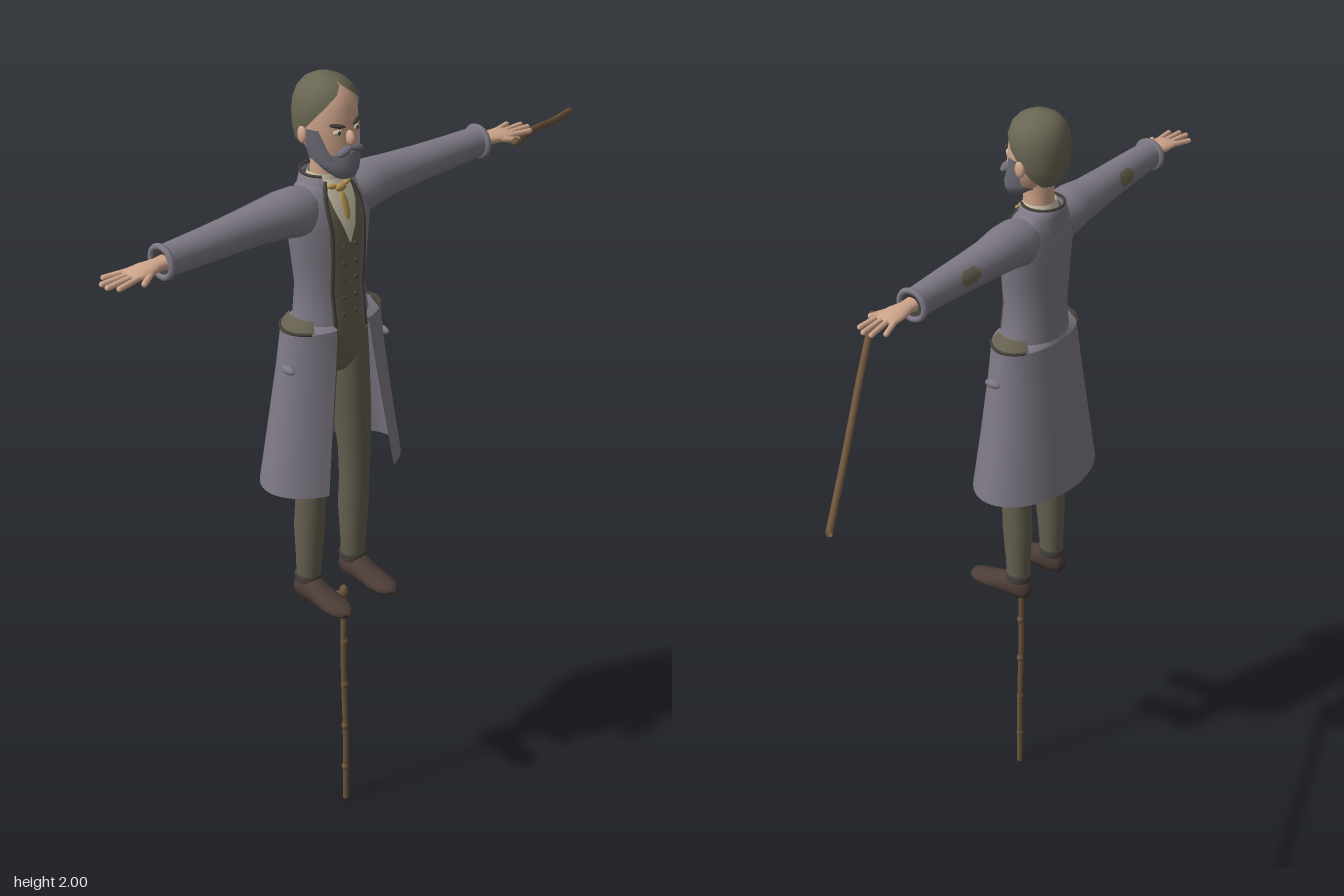
import * as THREE from 'three';

const mat = (name, color, side = THREE.DoubleSide) => {
  const m = new THREE.MeshStandardMaterial({ color, side });
  m.name = name;
  return m;
};

// Elliptical rings [t, rx, rz, cx, cz, halfArc] stacked along y; halfArc opens the ring around angle c (0 = front)
function loft(rings, c = 0, n = 28) {
  const pos = [], idx = [];
  const closed = rings.every(r => r[5] === undefined);
  const row = closed ? n : n + 1;
  rings.forEach(([t, rx, rz, cx = 0, cz = 0, w = Math.PI]) => {
    for (let i = 0; i < row; i++) {
      const a = c - w + 2 * w * i / n;
      pos.push(cx + rx * Math.sin(a), t, cz + rz * Math.cos(a));
    }
  });
  for (let j = 0; j < rings.length - 1; j++) {
    for (let i = 0; i < n; i++) {
      const k = (i + 1) % row, a = j * row + i, b = j * row + k;
      idx.push(a, b, b + row, a, b + row, a + row);
    }
  }
  const g = new THREE.BufferGeometry();
  g.setAttribute('position', new THREE.Float32BufferAttribute(pos, 3));
  g.setIndex(idx);
  g.computeVertexNormals();
  return g;
}

const V = (x, y, z) => new THREE.Vector3(x, y, z);
const tube = (pts, r, n = 24) => new THREE.TubeGeometry(new THREE.CatmullRomCurve3(pts), n, r, 8);

export function createModel() {
  const coat = mat('coat grey', 0x7e7985), olive = mat('trouser olive', 0x655f4f), hairM = mat('hair olive', 0x6a6653),
    skin = mat('skin', 0xcfa58b), beardM = mat('beard grey', 0x6c6b76), cream = mat('shirt cream', 0xcfc5ac),
    gold = mat('cravat gold', 0xb1934f), shoeM = mat('shoe brown', 0x4b3c37), wood = mat('cane wood', 0x6e543c),
    dark = mat('dark trim', 0x443f39);

  const model = new THREE.Group();
  const man = new THREE.Group();
  man.name = 'man';
  man.position.x = -0.235;
  model.add(man);
  const add = (name, geo, m, parent = man) => {
    const o = new THREE.Mesh(geo, m);
    o.name = name;
    parent.add(o);
    return o;
  };
  const ball = (name, m, p, s, parent = man) => {
    const o = add(name, new THREE.SphereGeometry(1, 20, 14), m, parent);
    o.position.set(...p);
    o.scale.set(...s);
    return o;
  };

  // Torso: closed waistcoat under an open jacket shell
  const torso = [[1.38, .106, .078, 0, .073], [1.43, .096, .076, 0, .071], [1.49, .089, .073, 0, .07], [1.57, .1, .075, 0, .07],
    [1.65, .112, .074, 0, .068], [1.7, .108, .064, 0, .063], [1.735, .085, .052, 0, .058], [1.755, .045, .042, 0, .054]];
  const openings = [.45, .5, .56, .5, .46, .48, .5, .6];
  const grow = (rings, d) => rings.map(([t, a, b, cx, cz]) => [t, a + d, b + d, cx, cz]);
  add('waistcoat', loft(grow(torso, -.005)), olive);
  add('jacket', loft(torso.map((r, i) => [...r, Math.PI - openings[i]]), Math.PI, 40), coat);
  for (const s of [-1, 1]) {
    const edge = torso.map(([t, a, b, , cz], i) => V(s * a * Math.sin(openings[i]), t, cz + b * Math.cos(openings[i])));
    add('jacketEdge', tube(edge, .005, 40), dark);
  }

  // Shirt front, cravat, buttons
  add('shirtFront', loft([[1.61, .11, .0745, 0, .069, .02], [1.65, .112, .0745, 0, .068, .16], [1.7, .108, .0645, 0, .063, .33],
    [1.735, .085, .053, 0, .058, .47], [1.757, .05, .046, 0, .056, .7]], 0, 12), cream);
  add('shirtCollar', loft([[1.74, .05, .046, 0, .058], [1.77, .043, .041, 0, .06]]), cream);
  ball('cravatKnot', gold, [0, 1.737, .112], [.016, .01, .008]);
  for (const s of [-1, 1]) ball('cravatWing', gold, [s * .02, 1.742, .106], [.016, .006, .007]).rotation.z = s * .25;
  ball('cravatTail', gold, [0, 1.697, .126], [.011, .034, .005]).rotation.x = -.35;
  for (let i = 0; i < 5; i++) for (const s of [-1, 1])
    ball('waistcoatButton', dark, [s * .018, 1.43 + i * .043, .141], [.005, .005, .005]);

  // Standing coat collar and a worn notch below it
  add('coatCollar', loft([[1.7, .082, .062, 0, .058, 2.55], [1.74, .065, .056, 0, .054, 2.5], [1.765, .053, .052, 0, .05, 2.4],
    [1.755, .047, .046, 0, .051, 2.35]], Math.PI), coat);
  add('collarFold', tube(Array.from({ length: 13 }, (_, i) => {
    const a = Math.PI - 2.4 + 4.8 * i / 12;
    return V(.053 * Math.sin(a), 1.765, .05 + .052 * Math.cos(a));
  }), .0035, 36), dark);

  // Coat skirt, open in front
  const skirt = [[1.4, .14, .083, 0, .073, Math.PI - .36], [1.3, .151, .094, 0, .071, Math.PI - .42],
    [1.15, .174, .111, 0, .069, Math.PI - .5], [.99, .2, .13, 0, .068, Math.PI - .56]];
  add('coatSkirt', loft(skirt.slice().reverse(), Math.PI, 48), coat);
  add('skirtTop', loft([[1.4, .139, .082, 0, .073, 2.78], [1.412, .095, .074, 0, .071, 2.7]], Math.PI, 40), coat);
  for (const s of [-1, 1]) {
    add('waistPocket', loft([[1.402, .141, .085, 0, .073, .75], [1.426, .108, .082, 0, .072, .55]], s * Math.PI / 2, 16), olive);
    add('pocketEdge', tube([-.7, -.35, 0, .35, .7].map(d => {
      const a = s * Math.PI / 2 + d;
      return V(.141 * Math.sin(a), 1.402, .073 + .085 * Math.cos(a));
    }), .004), dark);
    const pocket = ball('skirtPocket', coat, [s * .152, 1.312, .09], [.008, .011, .022]);
    pocket.rotation.z = s * .1;
  }

  // Trousers and shoes
  add('trouserSeat', loft([[1.27, .04, .045, 0, .072], [1.3, .085, .06, 0, .072], [1.36, .096, .066, 0, .073], [1.42, .09, .068, 0, .072]]), olive);
  for (const s of [-1, 1]) {
    const side = s < 0 ? 'right' : 'left';
    add(side + 'TrouserLeg', loft([[.69, .03, .031, s * .074, .063], [.75, .031, .033, s * .074, .065], [.85, .037, .04, s * .073, .068],
      [.93, .036, .039, s * .072, .073], [1.02, .039, .042, s * .068, .078], [1.15, .047, .051, s * .06, .076],
      [1.28, .05, .056, s * .052, .073], [1.36, .045, .056, s * .05, .073]]), olive);
    add(side + 'AnkleBand', loft([[.69, .032, .033, s * .074, .062], [.708, .034, .035, s * .074, .062], [.712, .03, .03, s * .074, .062]]), dark);
    const shoe = add(side + 'Shoe', loft([[.028, .002, .002, 0, -.665], [.032, .022, .026, 0, -.665], [.055, .031, .037, 0, -.672],
      [.085, .031, .036, 0, -.672], [.115, .031, .029, 0, -.664], [.15, .034, .022, 0, -.658], [.185, .031, .018, 0, -.655],
      [.205, .021, .013, 0, -.655], [.214, .002, .002, 0, -.655]]), shoeM);
    shoe.rotation.x = Math.PI / 2;
    shoe.position.x = s * .076;
  }
  add('kneePatch', loft([[1.005, .041, .044, -.069, .078, .3], [1.018, .0415, .0445, -.068, .078, .55], [1.035, .042, .045, -.067, .078, .55],
    [1.05, .042, .045, -.066, .078, .3]], -.2, 10), hairM);

  // Arms with cuffs, elbow patches and hands, built upright then laid along x
  for (const s of [-1, 1]) {
    const side = s < 0 ? 'right' : 'left';
    const arm = new THREE.Group();
    arm.name = side + 'Arm';
    arm.position.y = 1.694;
    arm.rotation.z = -s * Math.PI / 2;
    man.add(arm);
    add('sleeve', loft([[.05, .045, .045, 0, .06], [.09, .06, .06, s * .006, .062], [.14, .056, .056, 0, .062], [.2, .049, .05, 0, .06],
      [.29, .044, .044, 0, .063], [.38, .041, .039, 0, .066], [.47, .038, .035, 0, .067], [.492, .038, .036, 0, .067]]), coat, arm);
    const cuff = add('cuff', new THREE.TorusGeometry(.036, .008, 8, 28), coat, arm);
    cuff.rotation.x = Math.PI / 2;
    cuff.position.set(0, .49, .067);
    add('cuffInside', loft([[.494, .037, .036, 0, .067], [.488, .018, .02, 0, .07]]), dark, arm);
    add('elbowPatch', loft([[.29, .046, .046, 0, .063, .2], [.305, .046, .045, 0, .063, .45], [.34, .045, .044, 0, .064, .45],
      [.355, .044, .0425, 0, .065, .2]], Math.PI + s * .35, 10), hairM, arm);
    // Hand: flat palm, four fingers, thumb to the front
    add('palm', loft([[.48, .016, .021, 0, .07], [.51, .014, .02, 0, .071], [.54, .014, .029, 0, .073], [.575, .011, .031, 0, .073],
      [.59, .004, .026, 0, .073]]), skin, arm);
    const finger = (name, a, b, r) => {
      const d = b.clone().sub(a);
      const f = add(name, new THREE.CapsuleGeometry(r, d.length(), 5, 10), skin, arm);
      f.position.copy(a).addScaledVector(d, .5);
      f.quaternion.setFromUnitVectors(V(0, 1, 0), d.normalize());
    };
    [[.05, .035, .625], [.066, .059, .648], [.081, .081, .65], [.096, .103, .635]].forEach(([z0, z1, t]) =>
      finger('finger', V(0, .575, z0), V(s * .004, t, z1), .0068));
    finger('thumb', V(0, .53, .088), V(s * .006, .578, .117), .0075);
  }

  // Head
  add('neck', loft([[1.72, .04, .038, 0, .06], [1.79, .037, .038, 0, .064], [1.84, .045, .045, 0, .065]]), skin);
  add('head', loft([[1.775, .005, .005, 0, .112], [1.785, .032, .03, 0, .105], [1.81, .052, .053, 0, .09], [1.85, .066, .066, 0, .077],
    [1.89, .071, .07, 0, .07], [1.93, .071, .07, 0, .065], [1.965, .058, .06, 0, .062], [1.985, .03, .035, 0, .06]]), skin);
  add('hair', loft([[1.825, .052, .05, 0, .055, .9], [1.85, .068, .064, 0, .056, 1.3], [1.88, .075, .072, 0, .059, 1.65],
    [1.915, .078, .076, 0, .062, 2.05], [1.945, .075, .075, 0, .064, 2.4], [1.968, .064, .066, 0, .063, 2.8], [1.985, .048, .051, 0, .062, 3.1],
    [1.996, .027, .03, 0, .062, Math.PI], [2, .001, .001, 0, .062, Math.PI]], Math.PI, 40), hairM);
  add('beard', loft([[1.765, .003, .003, 0, .132], [1.772, .026, .022, 0, .127], [1.79, .044, .042, 0, .112], [1.81, .057, .058, 0, .095],
    [1.83, .056, .055, 0, .09]]), beardM);
  ball('nose', skin, [0, 1.868, .145], [.01, .018, .014]).rotation.x = -.35;
  for (const s of [-1, 1]) {
    add('sideburn', loft([[1.815, .061, .061, 0, .088, .6], [1.845, .0685, .069, 0, .077, .42], [1.89, .073, .072, 0, .07, .22]], s * 1.25, 10), beardM);
    ball('moustache', beardM, [s * .018, 1.84, .145], [.023, .009, .012]).rotation.z = -s * .3;
    ball('ear', skin, [s * .074, 1.873, .066], [.008, .021, .014]);
    ball('eyebrow', dark, [s * .029, 1.9, .134], [.02, .005, .006]).rotation.set(0, s * .45, s * .2);
    ball('eye', cream, [s * .028, 1.884, .133], [.011, .007, .006]).rotation.y = s * .4;
    ball('pupil', dark, [s * .027, 1.884, .138], [.004, .005, .003]);
  }

  // Slanted cane by the left hand
  add('heldCane', tube([V(.335, 1.685, .118), V(.52, 1.634, .01), V(.7, 1.572, -.095), V(.89, 1.516, -.205)], .0085), wood, model);
  ball('heldCaneKnob', wood, [.335, 1.685, .118], [.012, .011, .012], model);

  // Upright cane below the feet
  add('standingCane', tube([V(0, 0, .11), V(.002, .2, .11), V(-.002, .42, .109), V(0, .645, .11)], .0075), wood);
  ball('standingCaneKnob', wood, [0, .641, .11], [.011, .018, .012]);
  add('caneSpur', tube([V(0, .628, .108), V(0, .628, .088), V(0, .605, .082)], .005, 10), wood);
  for (let i = 0; i < 4; i++) ball('caneKnot', wood, [0, .1 + i * .13, .11], [.0095, .012, .0095]);
  return model;
}
